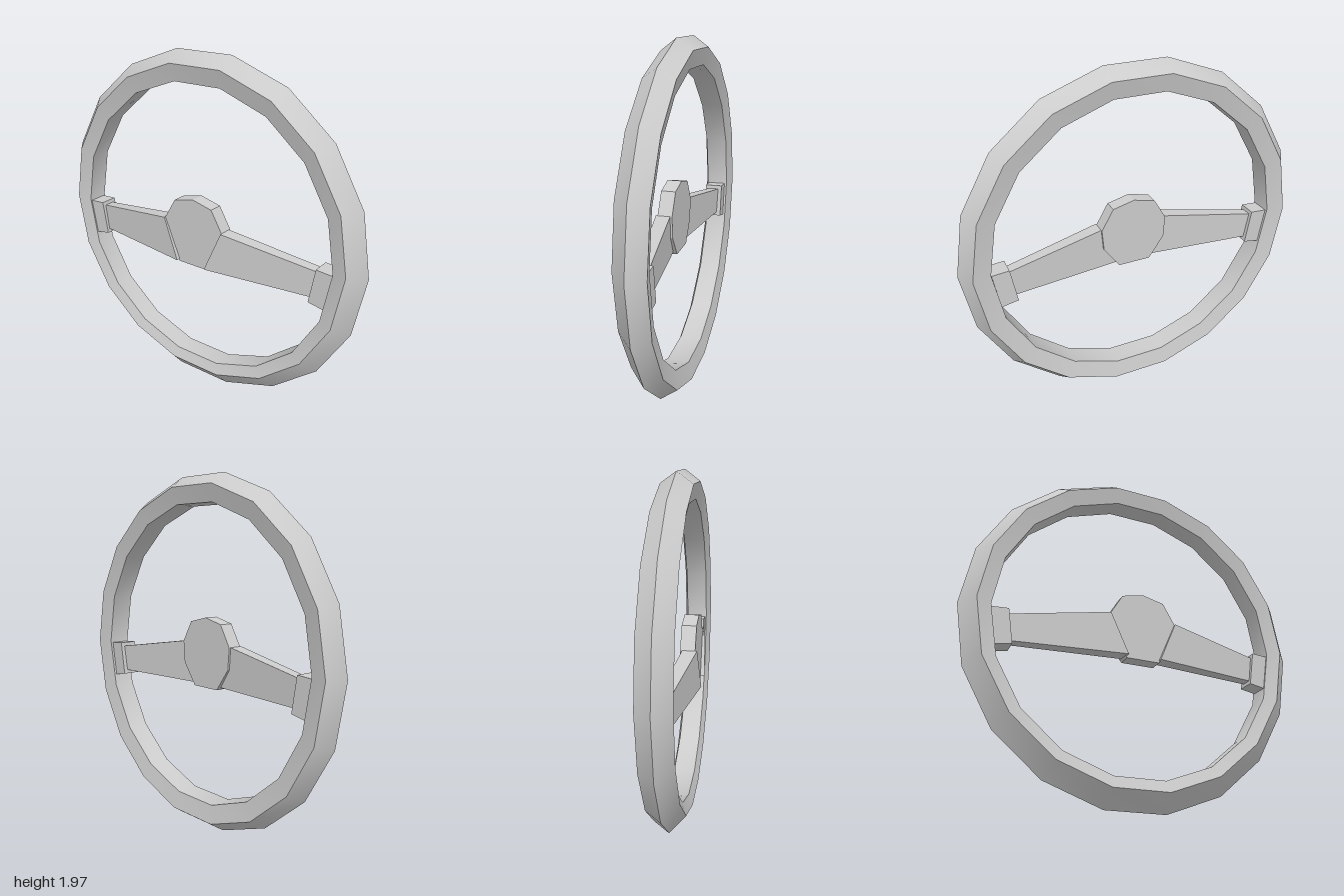
import * as THREE from 'three';

const material = new THREE.MeshStandardMaterial({ color: 0xcccccc });

// Flat-sided slab: an outline in x/y whose front and back depths follow rules in |x|
function slab(name, points, front, back) {
  const shape = new THREE.Shape(points.map(([x, y]) => new THREE.Vector2(x, y)));
  const geo = new THREE.ExtrudeGeometry(shape, { depth: 1, bevelEnabled: false });
  const p = geo.attributes.position;
  for (let i = 0; i < p.count; i++) {
    const x = Math.abs(p.getX(i));
    p.setZ(i, p.getZ(i) > 0.5 ? front(x) : back(x));
  }
  geo.computeVertexNormals();
  const mesh = new THREE.Mesh(geo, material);
  mesh.name = name;
  return mesh;
}

// One band of the rim between two rings, smooth around and creased at its edges
function rimBand(name, a, b, sides = 18) {
  const pos = [], index = [];
  for (let i = 0; i < sides; i++) {
    const t = (i / sides) * Math.PI * 2;
    for (const { r, y, z } of [a, b]) pos.push(r * Math.cos(t), y + r * Math.sin(t), z);
    const p = 2 * i, q = 2 * ((i + 1) % sides);
    index.push(p, q, p + 1, q, q + 1, p + 1);
  }
  const geo = new THREE.BufferGeometry();
  geo.setAttribute('position', new THREE.Float32BufferAttribute(pos, 3));
  geo.setIndex(index);
  geo.computeVertexNormals();
  const mesh = new THREE.Mesh(geo, material);
  mesh.name = name;
  return mesh;
}

export function createModel() {
  const model = new THREE.Group();
  model.name = 'steeringWheel';

  // Rim with a five-sided section: pointed outside, flat inside
  const outer = { r: 1, y: 0.986, z: -0.02 };
  const front = { r: 0.918, y: 1.003, z: 0.067 };
  const innerFront = { r: 0.838, y: 0.987, z: 0.043 };
  const innerBack = { r: 0.842, y: 0.987, z: -0.083 };
  const back = { r: 0.941, y: 0.984, z: -0.105 };
  const rim = new THREE.Group();
  rim.name = 'rim';
  rim.add(
    rimBand('rimOuterFront', outer, front),
    rimBand('rimFront', front, innerFront),
    rimBand('rimInside', innerFront, innerBack),
    rimBand('rimBack', innerBack, back),
    rimBand('rimOuterBack', back, outer)
  );
  model.add(rim);

  // Faceted hub
  const half = [[0.125, 1.165], [0.195, 1.045], [0.185, 0.92], [0.095, 0.795]];
  const mirrored = half.map(([x, y]) => [-x, y]).reverse();
  model.add(slab('hub', [[0, 1.195], ...half, ...mirrored], () => 0.081, () => 0.0));

  // Tapered spokes sloping back to the rim, with a clamp at each end
  for (const [side, s] of [['left', 1], ['right', -1]]) {
    const flip = (pts) => pts.map(([x, y]) => [s * x, y]);
    model.add(slab(side + 'Spoke',
      flip([[0.195, 1.045], [0.76, 0.957], [0.76, 0.808], [0.095, 0.808]]),
      (x) => 0.119 - 0.142 * x, (x) => 0.032 - 0.108 * x));
    model.add(slab(side + 'Clamp',
      flip([[0.742, 0.982], [0.838, 0.975], [0.803, 0.768], [0.71, 0.785]]),
      () => 0.035, () => -0.07));
  }
  return model;
}
